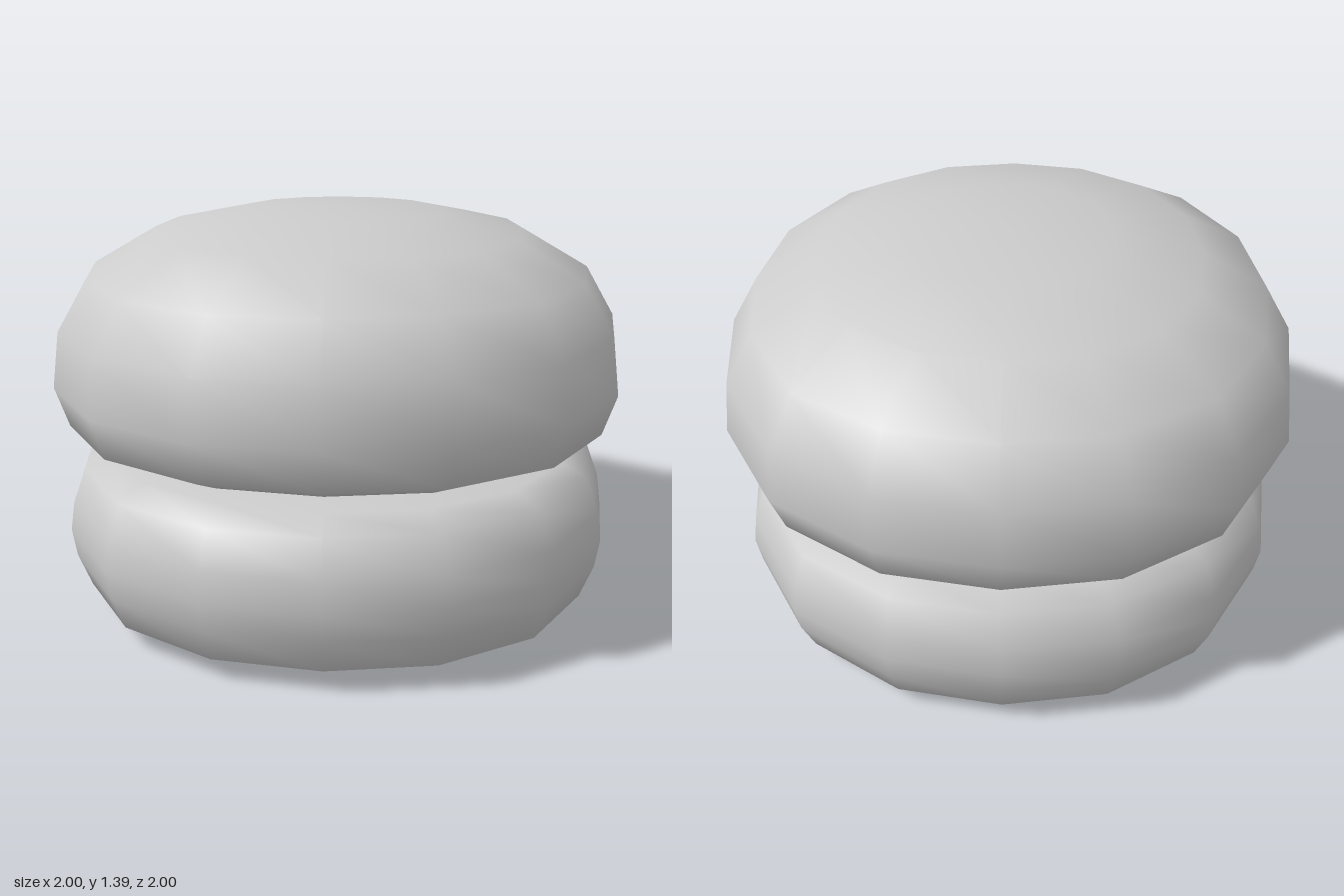
import * as THREE from 'three';
import { mergeVertices } from 'three/addons/utils/BufferGeometryUtils.js';

const SIDES = 16;

// Smooth 16-sided cushion turned from a profile, pushed out slightly on the diagonals.
function cushion(name, profile) {
  const points = profile.map(([r, y]) => new THREE.Vector2(r, y));
  let geometry = new THREE.LatheGeometry(points, SIDES);
  const pos = geometry.attributes.position;
  for (let i = 0; i < pos.count; i++) {
    const x = pos.getX(i), z = pos.getZ(i);
    const bulge = 1 + 0.035 * Math.sin(2 * Math.atan2(z, x)) ** 2;
    pos.setX(i, x * bulge);
    pos.setZ(i, z * bulge);
  }
  // Weld the seam and poles so shading is continuous
  geometry.deleteAttribute('uv');
  geometry.deleteAttribute('normal');
  geometry = mergeVertices(geometry, 1e-4);
  geometry.computeVertexNormals();
  const mesh = new THREE.Mesh(geometry, new THREE.MeshStandardMaterial({ color: 0xcccccc }));
  mesh.name = name;
  return mesh;
}

export function createModel() {
  const model = new THREE.Group();
  model.name = 'stackedCushions';

  // Lower cushion: symmetric top to bottom, nearly flat faces
  model.add(cushion('lowerCushion', [
    [0, 0], [0.6, 0.008], [0.82, 0.035], [0.915, 0.08], [0.96, 0.2], [0.975, 0.3],
    [0.96, 0.4], [0.915, 0.52], [0.82, 0.565], [0.6, 0.59], [0, 0.595],
  ]));

  // Upper cushion: shallow underside, domed top
  model.add(cushion('upperCushion', [
    [0, 0.59], [0.6, 0.595], [0.85, 0.63], [0.955, 0.68], [1, 0.82], [0.975, 1.01],
    [0.875, 1.18], [0.65, 1.31], [0.35, 1.375], [0, 1.39],
  ]));

  return model;
}
